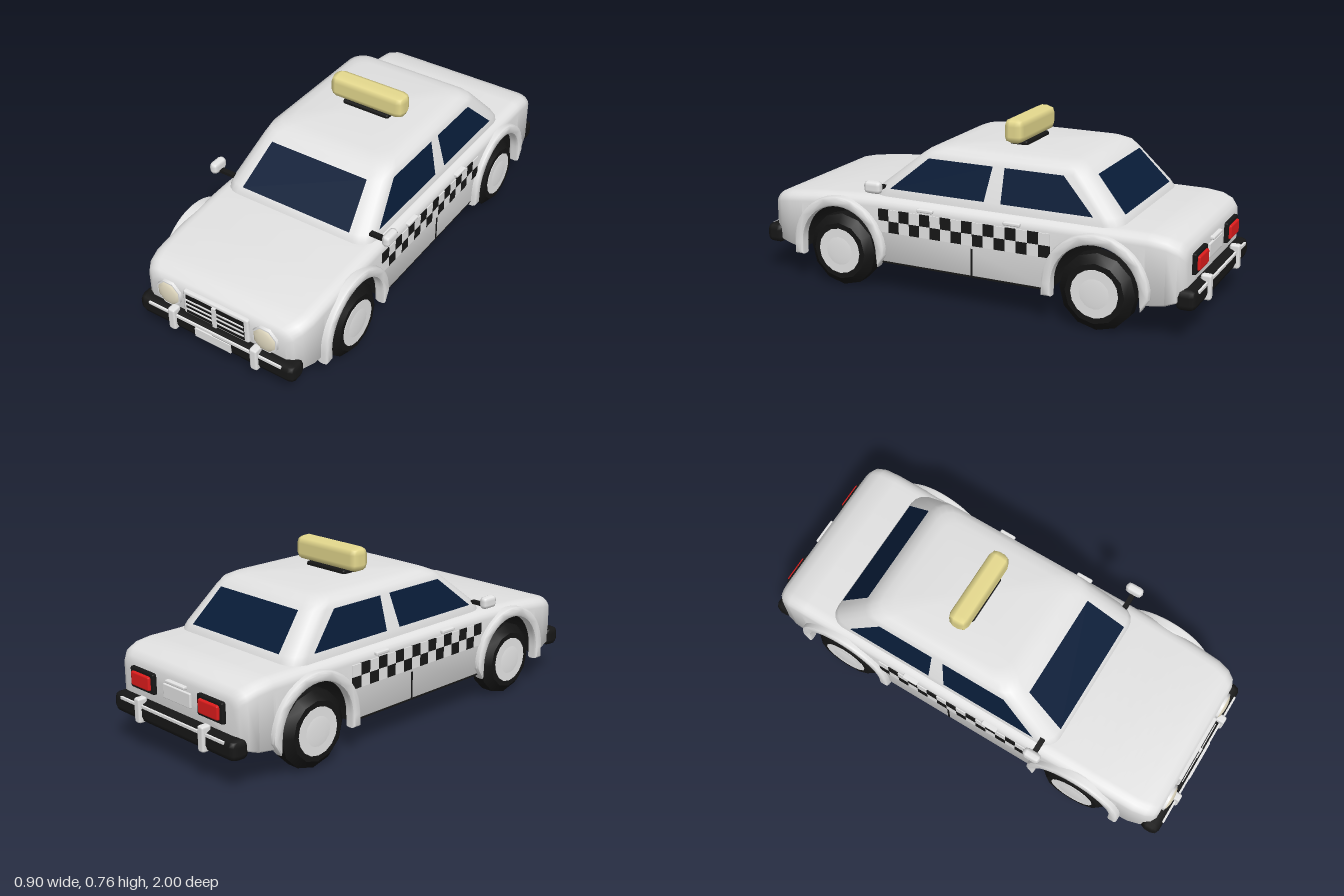
import * as THREE from 'three';
import { toCreasedNormals } from 'three/addons/utils/BufferGeometryUtils.js';
import { RoundedBoxGeometry } from 'three/addons/geometries/RoundedBoxGeometry.js';

const paint = (name, color) => {
  const m = new THREE.MeshStandardMaterial({ color });
  m.name = name;
  return m;
};

// Skin closed rings of points and close both ends; group 1 is the seam strip from last point to first
function loft(rings, crease) {
  const n = rings[0].length, pos = [], idx = [], seam = [];
  const centre = r => r.reduce((s, p) => s.map((v, k) => v + p[k] / n), [0, 0, 0]);
  rings.forEach(r => r.forEach(p => pos.push(...p)));
  const last = (rings.length - 1) * n, c0 = rings.length * n;
  pos.push(...centre(rings[0]), ...centre(rings[rings.length - 1]));
  for (let j = 0; j < n; j++) {
    const k = (j + 1) % n, list = k ? idx : seam;
    for (let i = 0; i < last; i += n) list.push(i + j, i + k, i + n + k, i + j, i + n + k, i + n + j);
    idx.push(c0, k, j, c0 + 1, last + j, last + k);
  }
  const g = new THREE.BufferGeometry();
  g.setAttribute('position', new THREE.Float32BufferAttribute(pos, 3));
  g.setIndex([...idx, ...seam]);
  g.addGroup(0, idx.length, 0);
  g.addGroup(idx.length, seam.length, 1);
  return toCreasedNormals(g, crease);
}

// Body cross-section: upright sides with a rounded shoulder
function bodySection([z, hw, top, bot]) {
  const half = [[hw * 0.985, bot], [hw, bot + 0.006]];
  for (let i = 0; i <= 5; i++) {
    const a = i / 5 * Math.PI / 2;
    half.push([hw - 0.055 + 0.055 * Math.cos(a), top - 0.042 + 0.042 * Math.sin(a)]);
  }
  const ring = [...half, ...half.slice().reverse().map(([x, y]) => [-x, y])];
  return ring.map(([x, y]) => [x, y, z]);
}

// Body stations (z, half width, top, bottom) with wheel tunnels cut into the bottom
const axles = [0.585, -0.59], wellR = 0.197, wellY = 0.172;
function bodyStations() {
  const base = [
    [-0.943, 0.335, 0.355, 0.2], [-0.936, 0.36, 0.376, 0.18], [-0.913, 0.38, 0.398, 0.165],
    [-0.87, 0.39, 0.414, 0.15], [-0.8, 0.392, 0.422, 0.14], [0.38, 0.393, 0.422, 0.14],
    [0.47, 0.393, 0.419, 0.14], [0.7, 0.39, 0.403, 0.14], [0.85, 0.385, 0.385, 0.145],
    [0.905, 0.372, 0.374, 0.155], [0.938, 0.352, 0.358, 0.165], [0.952, 0.325, 0.338, 0.18],
  ];
  const at = (z, bot) => {
    const i = base.findIndex(s => s[0] >= z), a = base[i - 1], b = base[i];
    const t = (z - a[0]) / (b[0] - a[0]);
    return [z, a[1] + (b[1] - a[1]) * t, a[2] + (b[2] - a[2]) * t, bot];
  };
  const out = base.filter(s => axles.every(c => Math.abs(s[0] - c) > wellR));
  for (const c of axles) {
    for (const s of [1, -1]) out.push(at(c + s * (wellR + 0.002), 0.14));
    for (let i = 0; i <= 12; i++) {
      const a = i / 12 * Math.PI;
      out.push(at(c + wellR * Math.cos(a), wellY + wellR * Math.sin(a)));
    }
  }
  return out.sort((a, b) => a[0] - b[0]);
}

// Cabin cross-section: rounded rectangle lying flat
function cabinSection([y, hw, front, back, r = 0.07]) {
  const ring = [];
  [[hw - r, back + r], [r - hw, back + r], [r - hw, front - r], [hw - r, front - r]].forEach(([x, z], q) => {
    for (let i = 0; i <= 4; i++) {
      const a = (q + i / 4) * Math.PI / 2;
      ring.push([x + r * Math.cos(a), y, z - r * Math.sin(a)]);
    }
  });
  return ring;
}

export function createModel() {
  const car = new THREE.Group();
  car.name = 'car';
  const white = paint('white paint', 0xe2e2e2), trim = paint('light trim', 0xe6e6e6);
  const black = paint('black trim', 0x171717), rubber = paint('tyre rubber', 0x141414);
  const glass = paint('window glass', 0x081c38), cream = paint('headlight lens', 0xe3dbc2);
  const yellow = paint('sign yellow', 0xe5d98e), red = paint('tail light red', 0xe01c1c);

  const add = (name, geo, mat, x = 0, y = 0, z = 0) => {
    const m = new THREE.Mesh(geo, mat);
    m.name = name;
    m.position.set(x, y, z);
    car.add(m);
  };
  const box = (name, mat, w, h, d, x, y, z) => add(name, new THREE.BoxGeometry(w, h, d), mat, x, y, z);
  const soft = (name, mat, w, h, d, r, x, y, z, seg = 1) =>
    add(name, new RoundedBoxGeometry(w, h, d, seg, r), mat, x, y, z);
  const pane = (name, ...c) => {
    const g = new THREE.BufferGeometry();
    g.setAttribute('position', new THREE.Float32BufferAttribute(c.flat(), 3));
    g.setIndex([0, 1, 2, 0, 2, 3]);
    g.computeVertexNormals();
    add(name, g, glass);
  };

  // Lower body with black underside, and sills between the wheels
  add('body', loft(bodyStations().map(bodySection), 0.8), [white, black]);
  box('sill', black, 0.78, 0.014, 0.77, 0, 0.142, -0.003);

  // Cabin: y, half width, front, back, corner radius
  add('cabin', loft([
    [0.4, 0.36, 0.452, -0.678], [0.43, 0.357, 0.444, -0.669], [0.452, 0.352, 0.43, -0.655],
    [0.595, 0.312, 0.255, -0.525], [0.62, 0.303, 0.22, -0.498], [0.635, 0.276, 0.185, -0.465],
    [0.643, 0.235, 0.135, -0.42, 0.06],
  ].map(cabinSection), 0.9), [white, white]);

  // Windows
  const lo = 0.454, hi = 0.595;
  pane('windshield', [-0.265, lo, 0.433], [0.265, lo, 0.433], [0.235, hi, 0.26], [-0.235, hi, 0.26]);
  pane('rearWindow', [0.265, lo, -0.659], [-0.265, lo, -0.659], [-0.235, hi, -0.53], [0.235, hi, -0.53]);
  [[0.353, -0.085, -0.107, 0.187], [-0.16, -0.56, -0.417, -0.16]].forEach(([a, b, c, d]) => {
    const corners = [[0.356, lo, a], [0.356, lo, b], [0.317, hi, c], [0.317, hi, d]];
    pane('leftSideWindow', ...corners);
    pane('rightSideWindow', ...corners.map(([x, y, z]) => [-x, y, z]).reverse());
  });

  // Roof sign
  soft('signBase', black, 0.228, 0.03, 0.08, 0.01, 0, 0.645, -0.125);
  soft('roofSign', yellow, 0.364, 0.106, 0.088, 0.032, 0, 0.708, -0.125);

  // Shared wheel and arch shapes
  const tyre = new THREE.LatheGeometry([
    [0, -0.056], [0.125, -0.0575], [0.16, -0.028], [0.16, 0.028], [0.125, 0.0575], [0, 0.056],
  ].map(p => new THREE.Vector2(...p)), 12);
  tyre.rotateZ(Math.PI / 2);
  const tyreGeo = toCreasedNormals(tyre, 0.6);
  const rim = new THREE.CylinderGeometry(0.1, 0.1, 0.03, 16).rotateZ(Math.PI / 2);
  const cap = new THREE.SphereGeometry(0.084, 16, 10).scale(0.1, 1, 1);
  const archShape = new THREE.Shape();
  archShape.moveTo(0.217, -0.046);
  archShape.absarc(0, 0, 0.217, 0, Math.PI, false);
  archShape.lineTo(-0.217, -0.046);
  archShape.lineTo(-0.193, -0.046);
  archShape.absarc(0, 0, 0.193, Math.PI, 0, true);
  archShape.lineTo(0.193, -0.046);
  const arch = new THREE.ExtrudeGeometry(archShape, {
    depth: 0.02, bevelEnabled: true, bevelThickness: 0.015, bevelSize: 0.01, bevelSegments: 2, curveSegments: 10,
  }).translate(0, 0, -0.01).rotateY(Math.PI / 2);
  const archGeo = toCreasedNormals(arch, 0.7);

  // Eight-sided headlight shapes
  const ring = new THREE.CylinderGeometry(0.06, 0.07, 0.05, 8).rotateX(Math.PI / 2).rotateZ(Math.PI / 8);
  const lens = new THREE.SphereGeometry(0.057, 8, 8).rotateX(Math.PI / 2).rotateZ(Math.PI / 8).scale(1, 1, 0.3);

  for (const s of [1, -1]) {
    const side = s > 0 ? 'left' : 'right';
    for (const z of axles) {
      const axle = side + (z > 0 ? 'Front' : 'Rear');
      add(axle + 'Tyre', tyreGeo, rubber, s * 0.348, 0.16, z);
      add(axle + 'Rim', rim, trim, s * 0.3925, 0.16, z);
      add(axle + 'Hubcap', cap, trim, s * 0.402, 0.16, z);
      add(axle + 'WheelArch', archGeo, white, s * 0.391, 0.175, z);
    }

    // Chequered band, two rows of squares
    const step = 0.785 / 16;
    for (let i = 0; i < 16; i++)
      for (let row = 0; row < 2; row++)
        box(side + 'Check', (i + row) % 2 ? trim : black, 0.006, 0.05, step,
          s * 0.394, 0.349 - row * 0.05, 0.39 - (i + 0.5) * step);
    box(side + 'DoorGap', black, 0.006, 0.115, 0.008, s * 0.392, 0.203, -0.048);
    for (const z of [0.165, -0.23])
      soft(side + 'DoorHandle', trim, 0.03, 0.016, 0.075, 0.006, s * 0.391, 0.392, z);

    // Mirrors
    box(side + 'MirrorArm', black, 0.08, 0.014, 0.022, s * 0.38, 0.458, 0.392);
    soft(side + 'Mirror', trim, 0.04, 0.054, 0.08, 0.018, s * 0.428, 0.475, 0.39);

    // Headlights
    add(side + 'HeadlightRim', ring, trim, s * 0.235, 0.282, 0.938);
    add(side + 'HeadlightLens', lens, cream, s * 0.235, 0.282, 0.958);

    // Tail lights
    soft(side + 'TailLightFrame', black, 0.154, 0.088, 0.03, 0.008, s * 0.213, 0.3, -0.944);
    soft(side + 'TailLight', red, 0.12, 0.06, 0.02, 0.008, s * 0.213, 0.3, -0.96);
  }

  // Grille
  soft('grilleFrame', trim, 0.32, 0.12, 0.03, 0.01, 0, 0.281, 0.95);
  box('grilleOpening', black, 0.282, 0.092, 0.006, 0, 0.28, 0.965);
  for (const y of [0.257, 0.28, 0.303]) box('grilleBar', trim, 0.282, 0.006, 0.008, 0, y, 0.968);
  box('grilleCentreBar', trim, 0.018, 0.098, 0.012, 0, 0.28, 0.969);

  // Bumpers with strips and guards
  for (const s of [1, -1]) {
    const end = s > 0 ? 'front' : 'rear';
    soft(end + 'Bumper', black, 0.762, 0.087, 0.084, 0.028, 0, 0.179, s * 0.945);
    box(end + 'BumperStrip', trim, 0.65, 0.011, 0.014, 0, 0.206, s * 0.982);
    for (const x of [-0.201, 0.201])
      soft(end + 'BumperGuard', trim, 0.036, 0.106, 0.045, 0.01, x, 0.187, s * 0.9775);
  }
  box('frontPlate', trim, 0.176, 0.042, 0.008, 0, 0.175, 0.988);

  // Rear plate, boot handle and exhaust
  soft('rearPlate', trim, 0.17, 0.06, 0.016, 0.004, 0, 0.292, -0.944);
  soft('bootHandle', trim, 0.12, 0.014, 0.03, 0.005, 0, 0.338, -0.945);
  add('exhaust', new THREE.CylinderGeometry(0.012, 0.012, 0.15, 8).rotateX(Math.PI / 2), trim, -0.222, 0.14, -0.87);

  return car;
}
